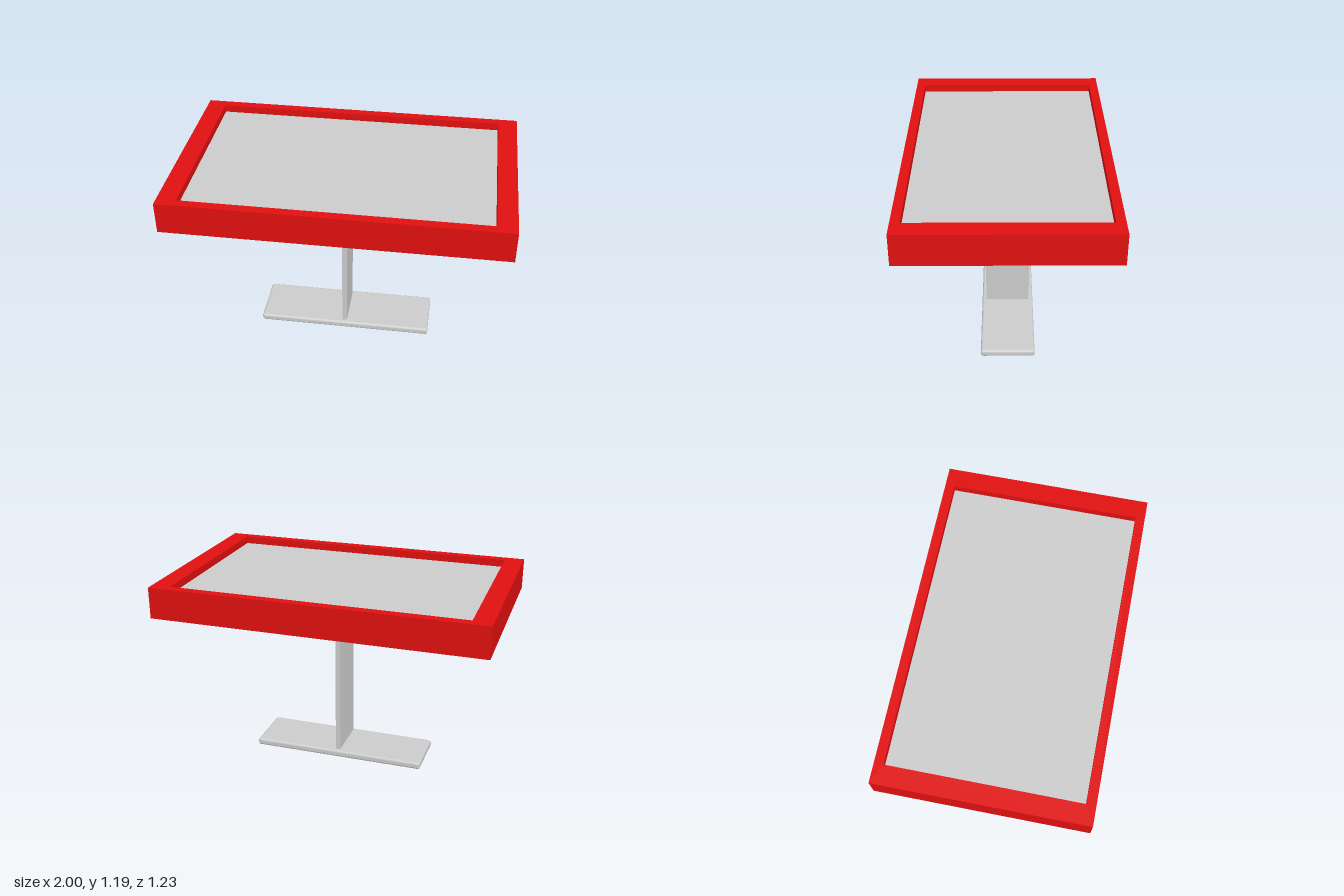
import * as THREE from 'three';
import { RoundedBoxGeometry } from 'three/addons/geometries/RoundedBoxGeometry.js';

const red = new THREE.MeshStandardMaterial({ color: 0xe01010 });
const grey = new THREE.MeshStandardMaterial({ color: 0xcccccc });

// Corners of a rectangle centred on (cx, cy)
function rect(cx, cy, w, h) {
  return [[-1, -1], [1, -1], [1, 1], [-1, 1]].map(
    ([sx, sy]) => new THREE.Vector2(cx + sx * w / 2, cy + sy * h / 2));
}

// Horizontal slab from y0 to y1 with rectangular holes
function slab(w, d, y0, y1, holes) {
  const shape = new THREE.Shape(rect(0, 0, w, d));
  for (const h of holes) shape.holes.push(new THREE.Path(rect(...h)));
  const geo = new THREE.ExtrudeGeometry(shape, { depth: y1 - y0, bevelEnabled: false });
  return geo.rotateX(-Math.PI / 2).translate(0, y0, 0);
}

export function createModel() {
  const model = new THREE.Group();
  model.name = 'pedestalTable';
  const add = (parent, name, geo, mat, x = 0, y = 0, z = 0) => {
    const mesh = new THREE.Mesh(geo, mat);
    mesh.name = name;
    mesh.position.set(x, y, z);
    parent.add(mesh);
  };

  // Foot and upright plate
  add(model, 'base', new RoundedBoxGeometry(1.09, 0.045, 0.332, 4, 0.015), grey, 0, 0.0225, 0);
  add(model, 'post', new THREE.BoxGeometry(0.03, 1.01, 0.28), grey, 0, 0.515, 0);

  // Red tray: raised rim above a body with four pockets underneath
  const top = new THREE.Group();
  top.name = 'tableTop';
  model.add(top);
  const pockets = [];
  for (const sx of [-1, 1]) for (const sz of [-1, 1]) pockets.push([sx * 0.507, sz * 0.375, 0.665, 0.325]);
  add(top, 'trayRim', slab(2, 1.225, 1.14, 1.19, [[0, 0, 1.77, 1.115]]), red);
  add(top, 'trayBody', slab(2, 1.225, 1.0, 1.14, pockets), red);

  // Grey panel sunk in the tray, and the pocket floors
  add(top, 'topPanel', new THREE.BoxGeometry(1.77, 0.01, 1.115), grey, 0, 1.139, 0);
  for (const [x, z, w, d] of pockets)
    add(top, 'pocketFloor', new THREE.BoxGeometry(w, 0.09, d), grey, x, 1.09, z);

  return model;
}
